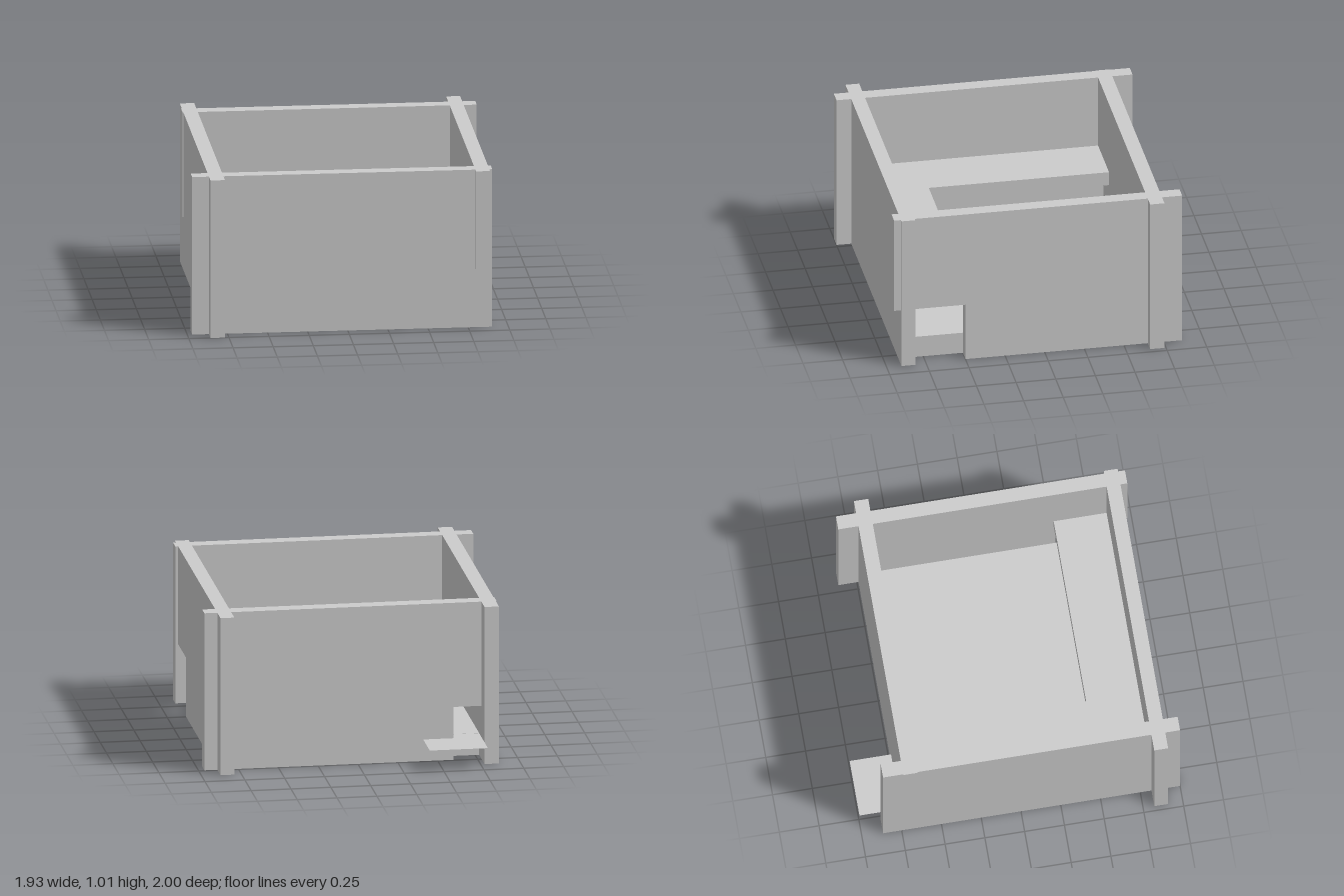
import * as THREE from 'three';

const HEIGHT = 1.01;
const material = new THREE.MeshStandardMaterial({ color: 0xcccccc, flatShading: true });
const thinMaterial = new THREE.MeshStandardMaterial({ color: 0xcccccc, side: THREE.DoubleSide });

function polygon(points) {
  return new THREE.Shape(points.map(([a, b]) => new THREE.Vector2(a, b)));
}

function extrude(points, depth) {
  return new THREE.ExtrudeGeometry(polygon(points), { depth, bevelEnabled: false });
}

// Plank running along x, outline given in (x, y), between z0 and z1
function plankAlongX(points, z0, z1) {
  return extrude(points, z1 - z0).translate(0, 0, z0);
}

// Plank running along z, outline given in (z, y), between x0 and x1
function plankAlongZ(points, x0, x1) {
  return extrude(points, x1 - x0).rotateY(-Math.PI / 2).translate(x1, 0, 0);
}

// Horizontal slab, outline given in (x, z), between y0 and y1
function slab(points, y0, y1) {
  return extrude(points.map(([x, z]) => [x, -z]), y1 - y0).rotateX(-Math.PI / 2).translate(0, y0, 0);
}

const rect = (a0, b0, a1, b1) => [[a0, b0], [a1, b0], [a1, b1], [a0, b1]];

export function createModel() {
  const group = new THREE.Group();
  const add = (name, geometry, mat = material) => {
    const mesh = new THREE.Mesh(geometry, mat);
    mesh.name = name;
    group.add(mesh);
  };

  // Interlocking walls whose ends stick out past each corner
  add('frontWall', plankAlongX(rect(-0.97, 0, 0.9, HEIGHT), 0.82, 0.907));
  add('rightWall', plankAlongZ(rect(-0.867, 0, 1, HEIGHT), -0.865, -0.775));

  // Walls with a doorway cut out of the lower corner
  add('backWall', plankAlongX(
    [[-0.6, 0], [0.963, 0], [0.963, HEIGHT], [-0.87, HEIGHT], [-0.87, 0.34], [-0.6, 0.34]], -0.74, -0.65));
  add('leftWall', plankAlongZ(
    [[-0.867, 0], [0.5, 0], [0.5, 0.38], [0.95, 0.38], [0.95, HEIGHT], [-0.867, HEIGHT]], 0.795, 0.882));

  // Thick floor filling the inside
  add('floor', slab(rect(-0.775, -0.65, 0.795, 0.82), 0, 0.14));

  // L-shaped shelf over the passage between the two doorways
  add('shelf', slab(
    [[-0.775, -0.65], [-0.41, -0.65], [-0.41, 0.487], [0.795, 0.487], [0.795, 0.82], [-0.775, 0.82]],
    0.445, 0.535));

  // Thin landing outside the back doorway
  const landing = new THREE.PlaneGeometry(0.365, 0.35).rotateX(-Math.PI / 2).translate(-0.5925, 0.139, -0.825);
  add('landing', landing, thinMaterial);

  // Keyhole-shaped inlay on the floor: round end cut by the back wall, plus a stem
  const r = 0.24, cx = 0.19, cy = 0.57, stem = 0.07;
  const cut = Math.asin(0.08 / r), neck = Math.acos(stem / r);
  const keyhole = new THREE.Shape();
  keyhole.absarc(cx, cy, r, cut, -neck, true);
  keyhole.lineTo(cx + stem, 0.1);
  keyhole.lineTo(cx - stem, 0.1);
  keyhole.absarc(cx, cy, r, -Math.PI + neck, -Math.PI - cut, true);
  add('floorInlay', new THREE.ShapeGeometry(keyhole, 16).rotateX(-Math.PI / 2).translate(0, 0.142, 0), thinMaterial);

  return group;
}
